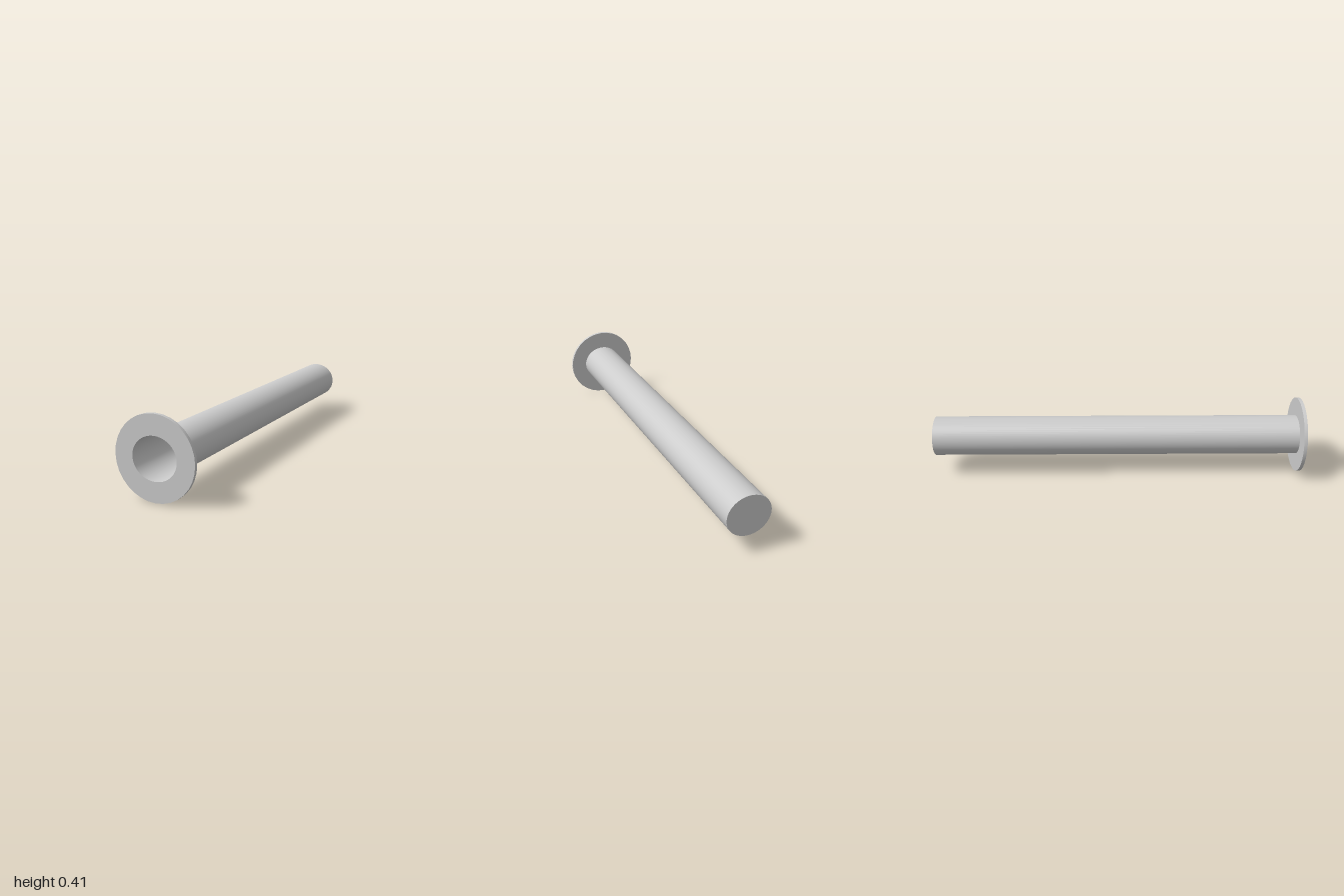
import * as THREE from 'three';
import { toCreasedNormals } from 'three/addons/utils/BufferGeometryUtils.js';

const AXIS_Y = 0.203;       // height of the tube axis
const FLANGE_R = 0.203;
const BORE_X = 0.113, BORE_Y = 0.104; // slightly oval tube
const FRONT = 1, BACK = -1, FLANGE_T = 0.018;
const TUBE_SIDES = 64;

const ellipsePoints = (rx, ry, n) => Array.from({ length: n }, (_, i) => {
  const a = (i / n) * Math.PI * 2;
  return new THREE.Vector2(rx * Math.cos(a), ry * Math.sin(a));
});

export function createModel() {
  const model = new THREE.Group();
  const material = new THREE.MeshStandardMaterial({ color: 0xcccccc });
  const thinMaterial = new THREE.MeshStandardMaterial({ color: 0xcccccc, side: THREE.DoubleSide });

  const add = (name, geometry, mat, z) => {
    const mesh = new THREE.Mesh(geometry, mat);
    mesh.name = name;
    mesh.position.set(0, AXIS_Y, z);
    model.add(mesh);
  };

  // Flange: a round plate pierced by the oval bore
  const plate = new THREE.Shape(ellipsePoints(FLANGE_R, FLANGE_R, 32));
  plate.holes.push(new THREE.Path(ellipsePoints(BORE_X, BORE_Y, TUBE_SIDES)));
  const flange = new THREE.ExtrudeGeometry(plate, { depth: FLANGE_T, bevelEnabled: false });
  add('flange', toCreasedNormals(flange, Math.PI / 6), material, FRONT - FLANGE_T);

  // Tube wall: thin and open, running back from the flange
  const length = FRONT - FLANGE_T - BACK;
  const wall = new THREE.CylinderGeometry(1, 1, length, TUBE_SIDES, 1, true);
  wall.rotateX(Math.PI / 2).scale(BORE_X, BORE_Y, 1);
  add('tubeWall', wall, thinMaterial, BACK + length / 2);

  // End cap closing the back of the tube
  const cap = new THREE.CircleGeometry(1, TUBE_SIDES);
  cap.scale(BORE_X, BORE_Y, 1).rotateY(Math.PI);
  add('endCap', cap, thinMaterial, BACK);

  return model;
}
